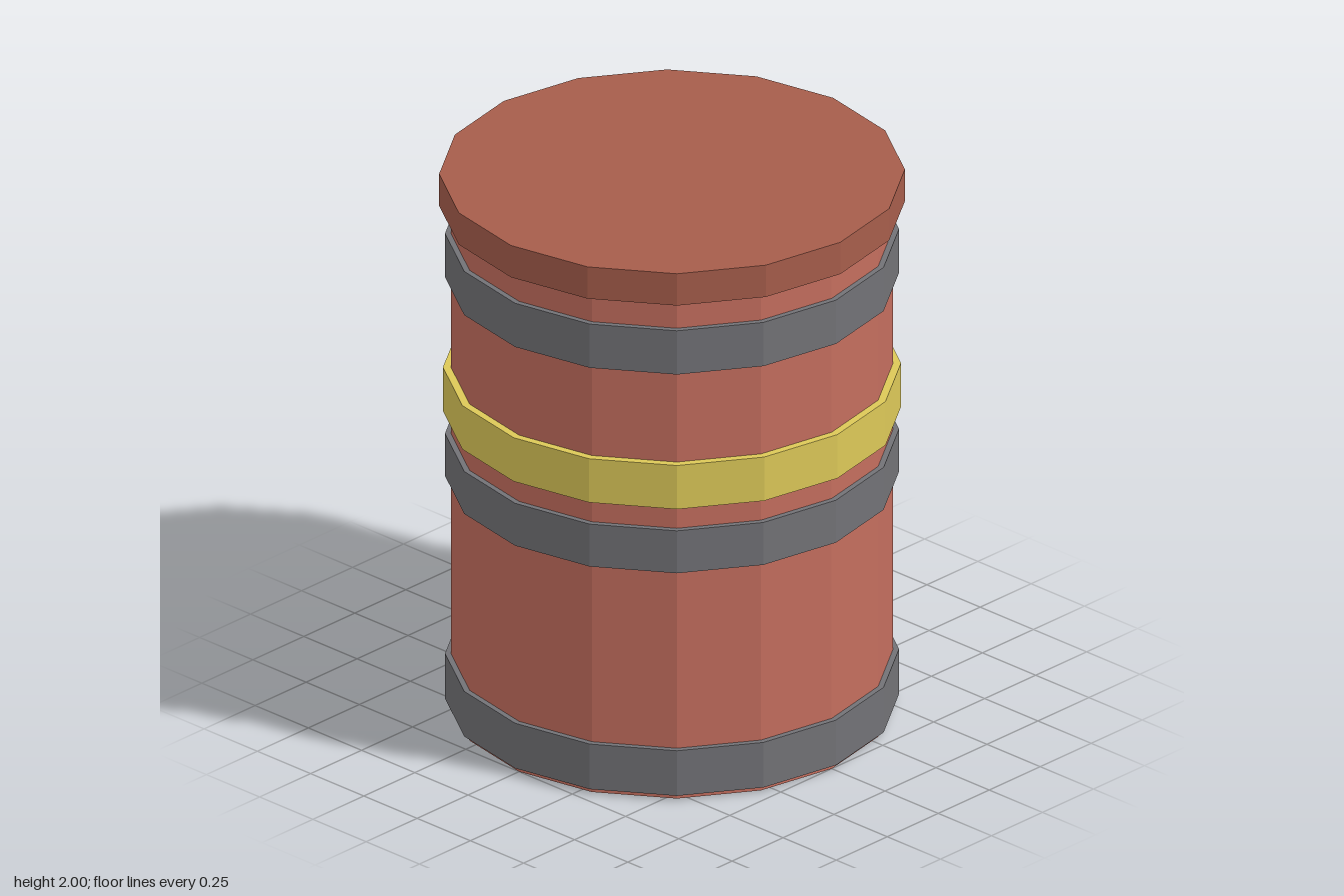
import * as THREE from 'three';

const SIDES = 16;
const BODY_RADIUS = 0.75;

const paint = (color) => new THREE.MeshStandardMaterial({ color, flatShading: true });

// Faceted solid of revolution from [radius, height] points, listed bottom to top
function turned(name, points, material) {
  const profile = points.map(([r, y]) => new THREE.Vector2(r, y));
  const mesh = new THREE.Mesh(new THREE.LatheGeometry(profile, SIDES), material);
  mesh.name = name;
  return mesh;
}

// Raised hoop wrapped around the body
function hoop(name, radius, bottom, top, material) {
  const inner = BODY_RADIUS - 0.005;
  return turned(name, [[inner, bottom], [radius, bottom], [radius, top], [inner, top]], material);
}

export function createModel() {
  const model = new THREE.Group();
  model.name = 'barrel';

  const bodyPaint = paint(0xc46e5e);
  const lidPaint = paint(0xa65d4b);
  const metal = paint(0x727276);
  const yellow = paint(0xdcc858);

  // Body with closed bottom
  model.add(turned('body', [[0, 0], [BODY_RADIUS, 0], [BODY_RADIUS, 1.88]], bodyPaint));

  // Overhanging lid
  model.add(turned('lid', [[BODY_RADIUS - 0.005, 1.88], [0.79, 1.88], [0.79, 2], [0, 2]], lidPaint));

  // Metal hoops
  const hoops = [
    ['lowerHoop', 0.02, 0.19],
    ['middleHoop', 0.86, 1.02],
    ['upperHoop', 1.61, 1.775],
  ];
  for (const [name, bottom, top] of hoops) model.add(hoop(name, 0.77, bottom, top, metal));

  // Coloured marking band
  model.add(hoop('yellowBand', 0.777, 1.105, 1.27, yellow));

  return model;
}
